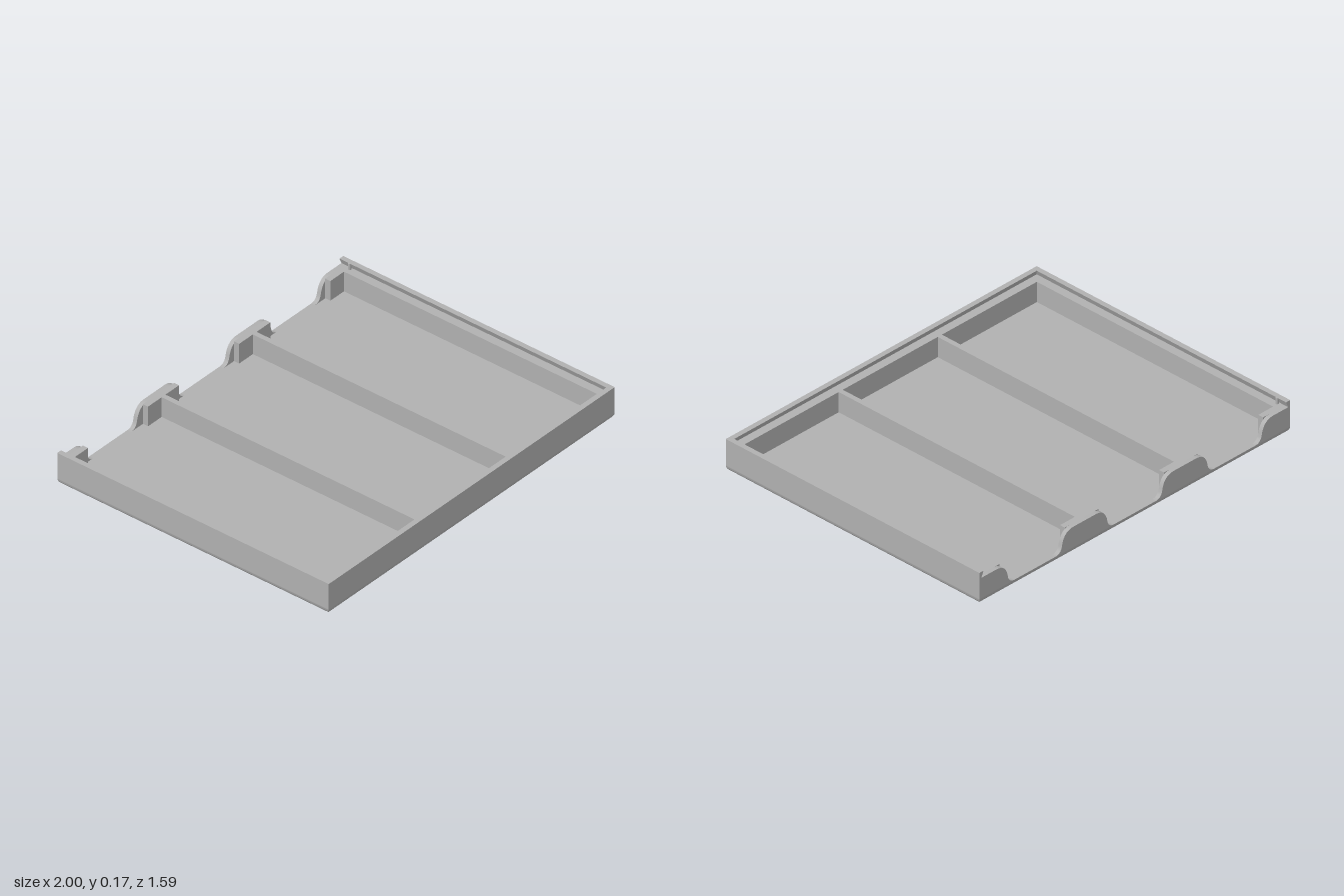
import * as THREE from 'three';
import { toCreasedNormals } from 'three/addons/utils/BufferGeometryUtils.js';
import { ConvexGeometry } from 'three/addons/geometries/ConvexGeometry.js';

const W = 1, D = 0.795;                 // half width, half depth
const FLOOR = 0.035, LEDGE = 0.143, TOP = 0.175;
const BACK = -0.773;                    // inner face of the back wall
const CELLS = [0.6375, 0, -0.6375];     // compartment centres

// Floor slab with a rounded lower edge
function slabGeometry() {
  const r = 0.033, lift = 0.002, pts = [];
  const ring = (inset, y) => {
    for (const sx of [-1, 1]) for (const sz of [-1, 1])
      pts.push(new THREE.Vector3(sx * (W - inset), y, sz * (D - inset)));
  };
  for (let i = 0; i <= 8; i++) {
    const a = (i / 8) * Math.PI / 2;
    ring(r * (1 - Math.sin(a)), lift + r * (1 - Math.cos(a)));
  }
  ring(0, FLOOR);
  return toCreasedNormals(new ConvexGeometry(pts), 0.6);
}

// Side walls, front wall, dividers and back posts as one comb-shaped plan
function combGeometry() {
  const cellHalf = 0.3055, openHalf = 0.21, front = 0.738, post = -0.743;
  const plan = [[-W, BACK], [-W, D], [W, D], [W, BACK]];
  for (const c of CELLS) {
    plan.push([c + openHalf, BACK], [c + openHalf, post], [c + cellHalf, post], [c + cellHalf, front],
      [c - cellHalf, front], [c - cellHalf, post], [c - openHalf, post], [c - openHalf, BACK]);
  }
  const shape = new THREE.Shape(plan.map(([x, z]) => new THREE.Vector2(x, -z)));
  const geo = new THREE.ExtrudeGeometry(shape, { depth: LEDGE - FLOOR, bevelEnabled: false });
  return geo.rotateX(-Math.PI / 2).translate(0, FLOOR, 0);
}

// Undercut lid rail around three sides, mitred at the front corners
function railGeometry() {
  const section = [[0, LEDGE], [0, TOP], [0.027, TOP], [0.013, LEDGE]];
  const stations = [
    ([d, y]) => [-W + d, y, -D], ([d, y]) => [-W + d, y, D - d],
    ([d, y]) => [W - d, y, D - d], ([d, y]) => [W - d, y, -D],
  ].map(f => section.map(f));
  const pos = [];
  const quad = (a, b, c, d) => pos.push(...a, ...b, ...c, ...a, ...c, ...d);
  for (let s = 0; s < 3; s++) {
    const p = stations[s], q = stations[s + 1];
    for (let i = 0; i < 4; i++) {
      const j = (i + 1) % 4;
      quad(p[i], q[i], q[j], p[j]);
    }
  }
  quad(...stations[0]);
  quad(...[...stations[3]].reverse());
  const geo = new THREE.BufferGeometry();
  geo.setAttribute('position', new THREE.Float32BufferAttribute(pos, 3));
  geo.computeVertexNormals();
  return geo;
}

// Back wall tab between finger openings; a side at the outer wall stays square
function tabGeometry(x0, x1) {
  const s = new THREE.Shape();
  const mid = FLOOR + 0.04;
  if (x0 <= -W) s.moveTo(x0, FLOOR).lineTo(x0, LEDGE);
  else {
    s.moveTo(x0, FLOOR);
    s.quadraticCurveTo(x0 + 0.035, FLOOR, x0 + 0.042, mid);
    s.quadraticCurveTo(x0 + 0.055, LEDGE, x0 + 0.115, LEDGE);
  }
  if (x1 >= W) s.lineTo(x1, LEDGE).lineTo(x1, FLOOR);
  else {
    s.lineTo(x1 - 0.115, LEDGE);
    s.quadraticCurveTo(x1 - 0.055, LEDGE, x1 - 0.042, mid);
    s.quadraticCurveTo(x1 - 0.035, FLOOR, x1, FLOOR);
  }
  s.closePath();
  const geo = new THREE.ExtrudeGeometry(s, { depth: BACK + D, bevelEnabled: false, curveSegments: 10 });
  return toCreasedNormals(geo.translate(0, 0, -D), 0.6);
}

export function createModel() {
  const grey = new THREE.MeshStandardMaterial({ color: 0xb0b0b0 });
  grey.name = 'grey plastic';
  const model = new THREE.Group();
  model.name = 'compartmentTray';
  const add = (name, geo, parent = model) => {
    const mesh = new THREE.Mesh(geo, grey);
    mesh.name = name;
    parent.add(mesh);
    return mesh;
  };

  add('floor', slabGeometry());
  add('wallsAndDividers', combGeometry());
  add('lidRail', railGeometry());

  // Back wall tabs
  for (const [x0, x1] of [[-W, -0.775], [-0.51, -0.135], [0.135, 0.51], [0.775, W]])
    add('backTab', tabGeometry(x0, x1));

  // Lid detents near the open end of the rails
  for (const side of [-1, 1])
    add('lidDetent', new THREE.CylinderGeometry(0.008, 0.008, TOP - LEDGE, 12))
      .position.set(side * 0.975, (TOP + LEDGE) / 2, -0.737);

  // Textured grip pads under the corners
  const tile = new THREE.BoxGeometry(0.016, 0.004, 0.016);
  for (const sx of [-1, 1]) for (const sz of [-1, 1]) {
    const pad = new THREE.Group();
    pad.name = 'gripPad';
    pad.position.set(sx * 0.9, 0.002, sz * 0.695);
    for (let i = 0; i < 4; i++) for (let j = 0; j < 4; j++)
      add('gripTile', tile, pad).position.set((i - 1.5) * 0.023, 0, (j - 1.5) * 0.023);
    model.add(pad);
  }
  return model;
}
